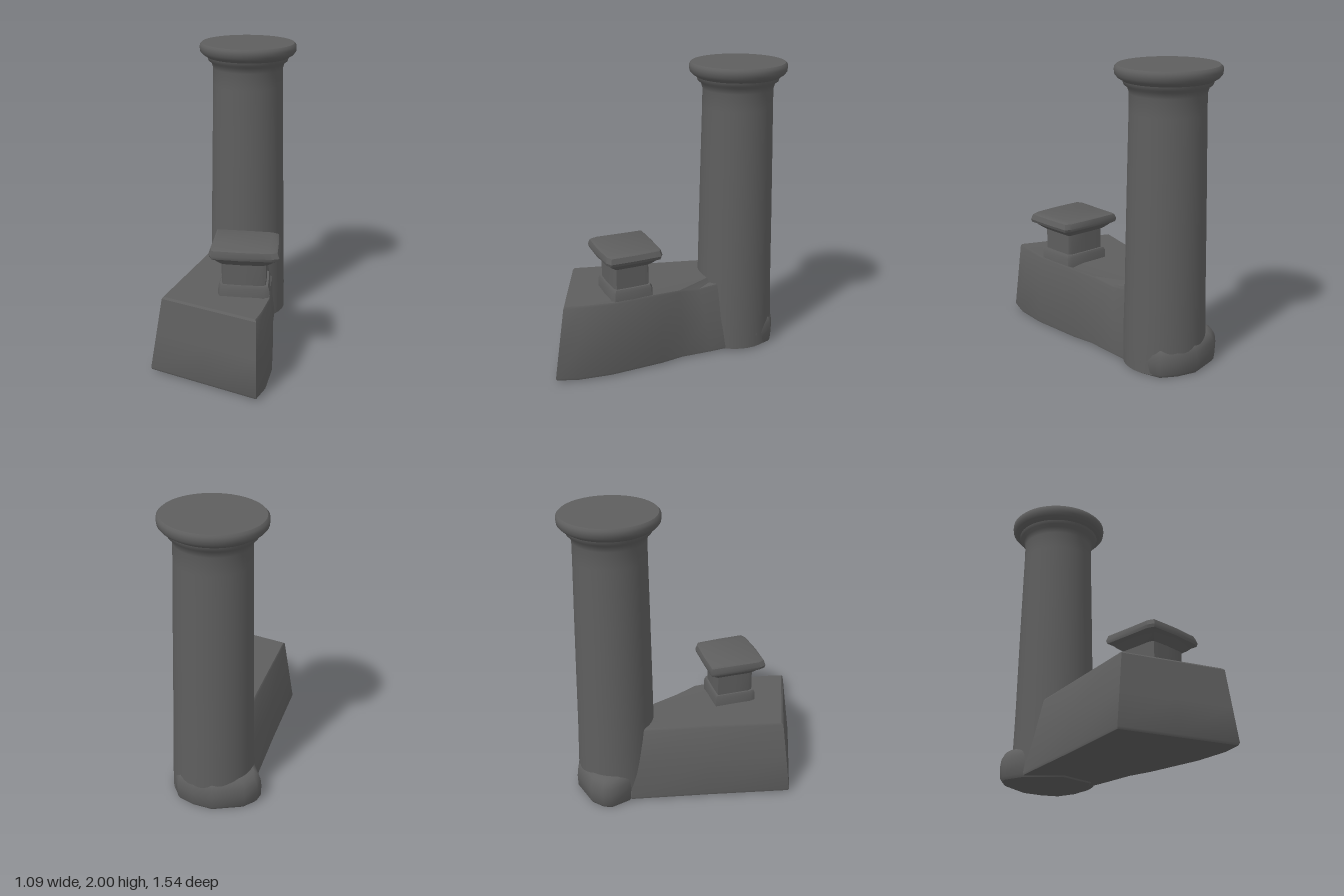
import * as THREE from 'three';
import { toCreasedNormals } from 'three/addons/utils/BufferGeometryUtils.js';

// Closed solid through stacked rings of [x, y, z], each counterclockwise from above
function loft(rings, crease = 0.6) {
  const n = rings[0].length;
  const index = [];
  for (let r = 0; r < rings.length - 1; r++) {
    for (let i = 0; i < n; i++) {
      const j = (i + 1) % n;
      const a = r * n + i, b = r * n + j, c = a + n, d = b + n;
      index.push(a, b, d, a, d, c);
    }
  }
  const cap = (ring, start, flip) => {
    const flat = ring.map(([x, , z]) => new THREE.Vector2(x, -z));
    for (const [a, b, c] of THREE.ShapeUtils.triangulateShape(flat, [])) {
      index.push(start + a, start + (flip ? c : b), start + (flip ? b : c));
    }
  };
  cap(rings[0], 0, true);
  cap(rings[rings.length - 1], (rings.length - 1) * n, false);
  const g = new THREE.BufferGeometry();
  g.setAttribute('position', new THREE.Float32BufferAttribute(rings.flat(2), 3));
  g.setIndex(index);
  return toCreasedNormals(g, crease);
}

// Rings from one outline, scaled about a centre, for a list of [y, scale]
function scaledRings(outline, cx, cz, steps) {
  return steps.map(([y, s]) => outline.map(([x, z]) => [cx + (x - cx) * s, y, cz + (z - cz) * s]));
}

export function createModel() {
  const grey = new THREE.MeshStandardMaterial({ color: 0x5e5e5e });
  grey.name = 'dark grey';
  const group = new THREE.Group();
  const add = (name, geometry) => {
    const mesh = new THREE.Mesh(geometry, grey);
    mesh.name = name;
    group.add(mesh);
    return mesh;
  };

  // Tall tapered column with a flared round cap
  const profile = [
    [0, 0.01], [0.277, 0.01], [0.276, 0.2], [0.268, 0.5], [0.262, 0.9], [0.255, 1.3], [0.247, 1.7],
    [0.246, 1.82], [0.258, 1.86], [0.28, 1.875], [0.288, 1.9], [0.32, 1.92], [0.337, 1.94],
    [0.34, 1.965], [0.338, 1.985], [0.325, 1.998], [0, 2],
  ].map(([r, y]) => new THREE.Vector2(r, y));
  const column = add('column', toCreasedNormals(new THREE.LatheGeometry(profile, 56), 0.7));
  column.position.set(-0.195, 0, -0.45);
  column.scale.z = 0.97;

  // Faceted foot around the bottom of the column
  const foot = [
    [-0.55, -0.44], [-0.46, -0.33], [-0.2, -0.22], [0.03, -0.3], [0.07, -0.45], [0.035, -0.6],
    [-0.06, -0.71], [-0.18, -0.73], [-0.32, -0.715], [-0.5, -0.59], [-0.55, -0.5],
  ];
  add('columnFoot', loft(scaledRings(foot, -0.2, -0.45,
    [[0, 0.95], [0.02, 0.99], [0.1, 1], [0.15, 0.98], [0.19, 0.92], [0.21, 0.83]]), 0.9));

  // Sloping base that bends away from the column: [bottom x, z, top x, z, top y]
  const corners = [
    [-0.25, 0.765, -0.19, 0.7, 0.52], [0.14, 0.765, 0.15, 0.7, 0.52], [0.54, 0.765, 0.5, 0.7, 0.52],
    [0.53, 0.62, 0.48, 0.58, 0.52], [0.46, 0.4, 0.43, 0.38, 0.52], [0.29, 0.06, 0.28, 0.06, 0.52],
    [0.2, -0.08, 0.18, -0.06, 0.5], [0.12, -0.28, 0.08, -0.2, 0.47], [0.04, -0.46, 0, -0.42, 0.5],
    [-0.3, -0.55, -0.28, -0.5, 0.52], [-0.45, -0.32, -0.36, -0.32, 0.52], [-0.35, 0.2, -0.275, 0.19, 0.52],
  ];
  const baseRing = (t, inset = 0) => corners.map(([bx, bz, tx, tz, ty]) => {
    const x = bx + (tx - bx) * t, z = bz + (tz - bz) * t;
    return [x + (0.05 - x) * inset, 0.01 + (ty - 0.01) * t, z + (0.15 - z) * inset];
  });
  add('base', loft([baseRing(0, 0.015), baseRing(0.03), baseRing(0.5), baseRing(0.975), baseRing(1, 0.02)], 0.6));

  // Short square pedestal turned on the base, with a wide cap
  const slab = [
    [-0.08, 0.2], [0.0, 0.385], [0.06, 0.53], [0.095, 0.565], [0.28, 0.5], [0.46, 0.42], [0.495, 0.385],
    [0.42, 0.22], [0.34, 0.065], [0.3, 0.06], [0.1, 0.13],
  ];
  const pedestal = (name, steps) => add(name, loft(scaledRings(slab, 0.2, 0.315, steps), 0.65));
  pedestal('pedestalFoot', [[0.49, 0.74], [0.575, 0.73], [0.595, 0.69]]);
  pedestal('pedestalNeck', [[0.57, 0.63], [0.76, 0.63]]);
  pedestal('pedestalCap', [[0.735, 0.64], [0.755, 0.76], [0.775, 0.85], [0.79, 0.97], [0.81, 1], [0.845, 0.95], [0.852, 0.9]]);

  return group;
}
